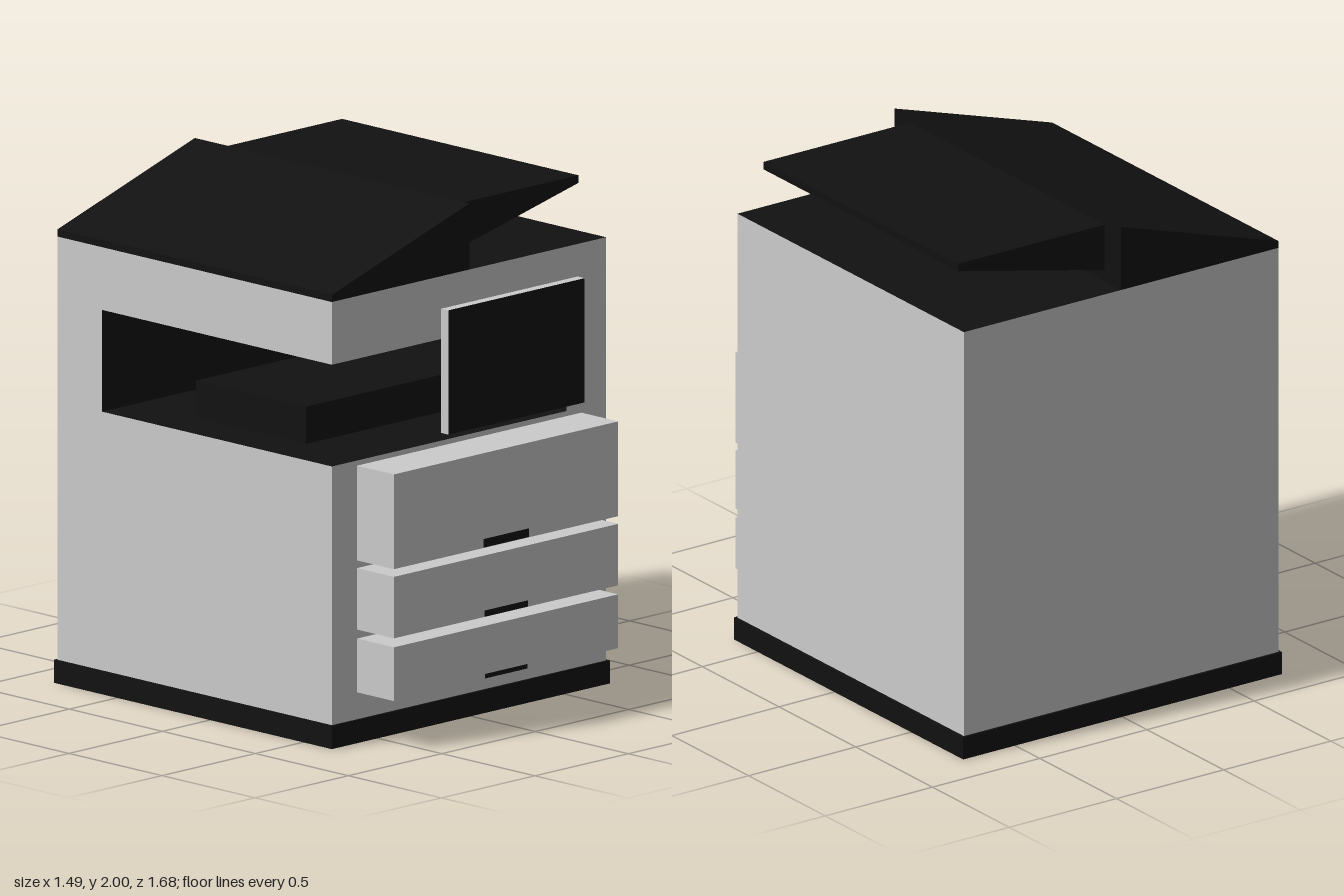
import * as THREE from 'three';

const grey = new THREE.MeshStandardMaterial({ color: 0xcccccc });
const black = new THREE.MeshStandardMaterial({ color: 0x111111 });

// Box face order used by BoxGeometry groups
const FACES = ['+x', '-x', '+y', '-y', '+z', '-z'];

// Box from min/max ranges; the faces listed in accents get the second material
function box(name, [x0, x1], [y0, y1], [z0, z1], base = grey, accents = [], accent = black) {
  const geo = new THREE.BoxGeometry(x1 - x0, y1 - y0, z1 - z0);
  const mats = FACES.map((f) => (accents.includes(f) ? accent : base));
  const mesh = new THREE.Mesh(geo, accents.length ? mats : base);
  mesh.name = name;
  mesh.position.set((x0 + x1) / 2, (y0 + y1) / 2, (z0 + z1) / 2);
  return mesh;
}

// Front profile (x, y) extruded from z0 to z1
function prism(name, points, z0, z1) {
  const shape = new THREE.Shape(points.map(([x, y]) => new THREE.Vector2(x, y)));
  const geo = new THREE.ExtrudeGeometry(shape, { depth: z1 - z0, bevelEnabled: false });
  const mesh = new THREE.Mesh(geo, black);
  mesh.name = name;
  mesh.position.z = z0;
  return mesh;
}

export function createModel() {
  const model = new THREE.Group();
  model.name = 'photocopier';

  const X = [-0.735, 0.732];
  const Z = [-0.83, 0.645];
  const slotY = [1.10, 1.497];
  const slotBack = -0.59;
  const slotEnd = 0.52;

  // Plinth
  model.add(box('base', [-0.745, 0.742], [0, 0.09], [-0.84, 0.655], black));

  // Cabinet, with an output recess open to the front and the -x side
  const body = new THREE.Group();
  body.name = 'body';
  body.add(
    box('lowerCabinet', X, [0.09, slotY[0]], Z, grey, ['+y']),
    box('recessBackWall', X, slotY, [Z[0], slotBack], grey, ['+z']),
    box('recessSideWall', [slotEnd, X[1]], slotY, [slotBack, Z[1]], grey, ['-x']),
    box('scannerHousing', X, [slotY[1], 1.742], Z, grey, ['+y', '-y']),
  );
  model.add(body);

  // Raised block on the recess floor
  model.add(box('outputTray', [-0.55, slotEnd], [slotY[0], 1.245], [-0.27, 0.32], black, ['-z'], grey));

  // Control panel with dark front
  model.add(box('controlPanel', [-0.15, 0.58], [1.13, 1.615], [0.645, 0.683], grey, ['+z']));

  // Paper drawers, each with a flush dark handle
  const drawers = [
    { y: [0.71, 1.08], handle: [0.712, 0.745], half: 0.12 },
    { y: [0.44, 0.68], handle: [0.441, 0.465], half: 0.115 },
    { y: [0.195, 0.405], handle: [0.2, 0.217], half: 0.112 },
  ];
  drawers.forEach(({ y, handle, half }) => {
    const drawer = new THREE.Group();
    drawer.name = 'drawer';
    drawer.add(
      box('drawerFront', [-0.6, 0.6], y, [0.645, 0.843]),
      box('drawerHandle', [-half, half], handle, [0.84, 0.845], black),
    );
    model.add(drawer);
  });

  // Document feeder: sloped cover and overhanging wedge tray
  model.add(prism('feederCover', [[X[0], 1.742], [0, 1.742], [0, 2], [X[0], 1.77]], Z[0], Z[1]));
  model.add(prism('feederTray', [[0, 1.79], [0.683, 1.945], [0.683, 1.975], [0, 1.975]], -0.725, 0.545));

  return model;
}
